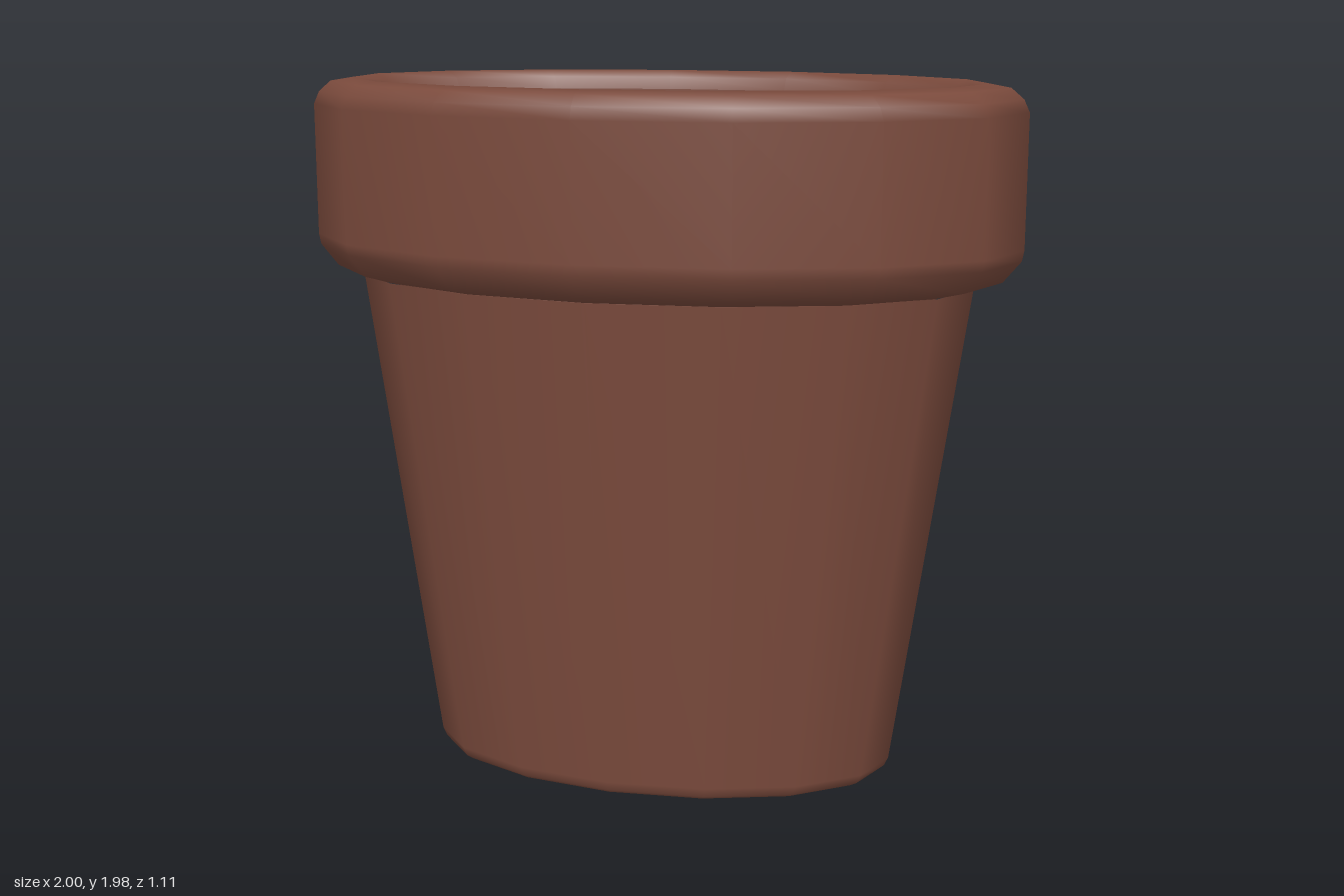
import * as THREE from 'three';

const SIDES = 15;       // facets around the oval
const DEPTH = 0.55;     // oval depth relative to its width

export function createModel() {
  const pot = new THREE.Group();
  pot.name = 'ovalPot';

  const clay = new THREE.MeshStandardMaterial({ color: 0x7a4a3c });
  clay.name = 'brown clay';

  // Oval lathe: profile points are [half width, height]
  function ovalPart(name, profile) {
    const points = profile.map(([r, y]) => new THREE.Vector2(r, y));
    const geometry = new THREE.LatheGeometry(points, SIDES, Math.PI / 2);
    geometry.scale(1, 1, DEPTH);
    geometry.translate(-0.011, 0, 0);
    const mesh = new THREE.Mesh(geometry, clay);
    mesh.name = name;
    pot.add(mesh);
  }

  // Flat underside
  ovalPart('base', [[0, 0], [0.646, 0]]);

  // Tapering outer wall with a small bevel at the foot
  ovalPart('body', [[0.646, 0], [0.665, 0.01], [0.677, 0.035], [0.878, 1.42]]);

  // Thick collar with rounded edges, rolling over into the opening
  ovalPart('rim', [
    [0.87, 1.42], [0.955, 1.44], [1.005, 1.5], [1.011, 1.53], [1.011, 1.9],
    [0.995, 1.935], [0.96, 1.965], [0.9, 1.975], [0.865, 1.955], [0.85, 1.92],
  ]);

  // Inner wall
  ovalPart('innerWall', [[0.85, 1.92], [0.59, 0.08]]);

  // Inside floor
  ovalPart('floor', [[0.59, 0.08], [0, 0.08]]);

  return pot;
}
